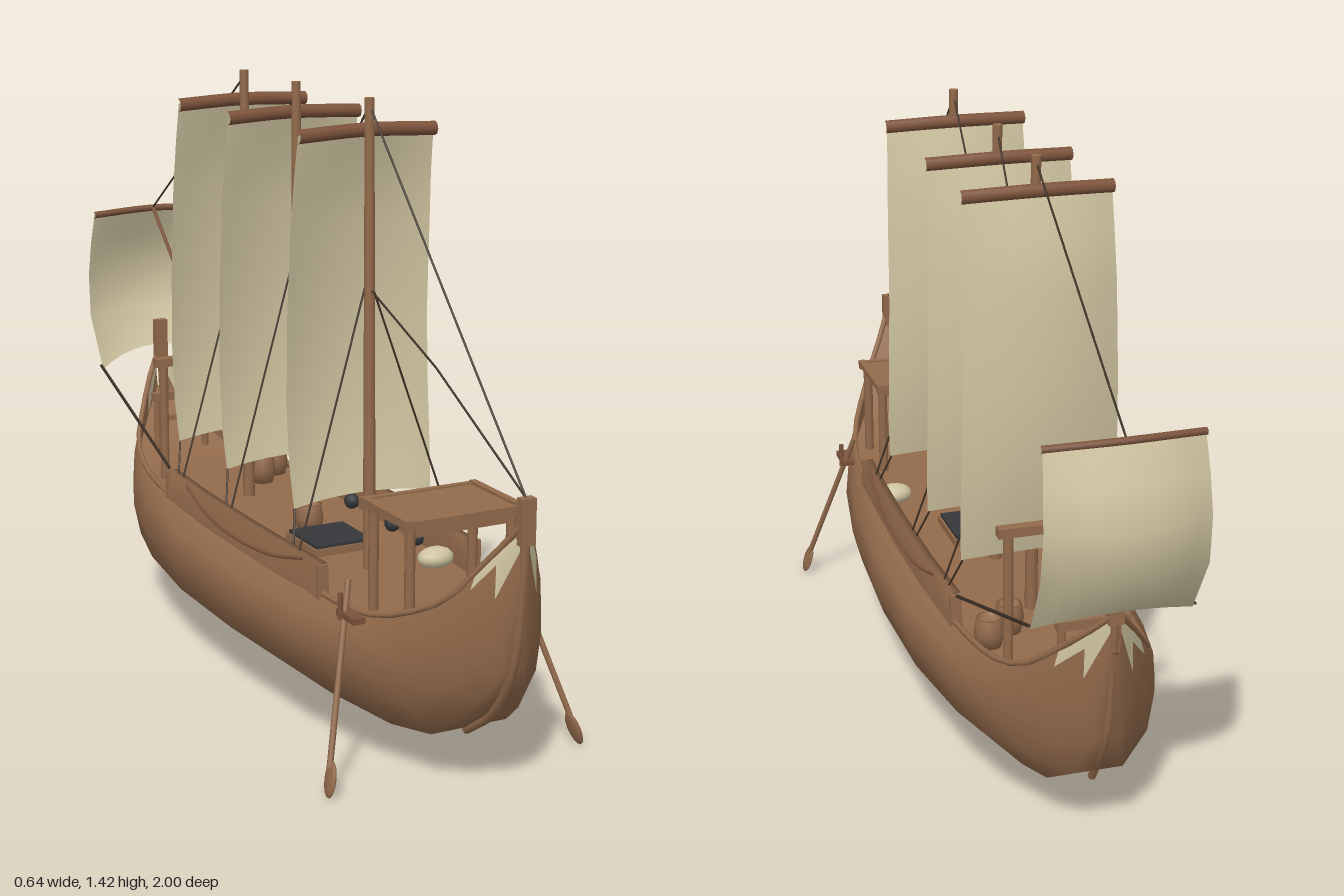
import * as THREE from 'three';

const mat = (name, color, side = THREE.FrontSide) => {
  const m = new THREE.MeshStandardMaterial({ color, side });
  m.name = name;
  return m;
};

// Hull stations: z, keel y, sheer y, greatest half width, half width at the sheer
const STATIONS = [
  [0.985, 0.5, 0.63, 0.012, 0.012],
  [0.955, 0.31, 0.585, 0.05, 0.035],
  [0.915, 0.24, 0.525, 0.088, 0.07],
  [0.87, 0.185, 0.46, 0.12, 0.105],
  [0.78, 0.12, 0.405, 0.168, 0.15],
  [0.65, 0.1, 0.365, 0.212, 0.182],
  [0.41, 0.09, 0.358, 0.252, 0.2],
  [0.1, 0.09, 0.355, 0.274, 0.207],
  [-0.2, 0.09, 0.355, 0.27, 0.205],
  [-0.45, 0.095, 0.36, 0.238, 0.192],
  [-0.61, 0.105, 0.377, 0.2, 0.17],
  [-0.715, 0.125, 0.415, 0.158, 0.14],
  [-0.795, 0.175, 0.484, 0.105, 0.09],
  [-0.85, 0.28, 0.54, 0.055, 0.05],
  [-0.89, 0.5, 0.59, 0.012, 0.012],
];
// Half section: height fraction, width fraction (the last point uses the sheer width)
const SECTION = [[0, 0], [0, 0.56], [0.28, 0.91], [0.59, 1], [0.86, 0.97], [1, 1]];

// Surface through rows of points; pick(row, col) chooses the material group
function loft(rows, pick = () => 0) {
  const n = rows[0].length;
  const lists = [[], []];
  for (let i = 0; i < rows.length - 1; i++) {
    for (let j = 0; j < n - 1; j++) {
      const a = i * n + j, b = a + 1, c = a + n, d = c + 1;
      lists[pick(i, j)].push(a, b, c, b, d, c);
    }
  }
  const g = new THREE.BufferGeometry();
  g.setAttribute('position', new THREE.Float32BufferAttribute(rows.flat(2), 3));
  g.setIndex(lists.flat());
  g.addGroup(0, lists[0].length, 0);
  g.addGroup(lists[0].length, lists[1].length, 1);
  g.computeVertexNormals();
  return g;
}

export function createModel() {
  const wood = mat('wood', 0x926a4b);
  const planks = mat('hull planks', 0x926a4b, THREE.DoubleSide);
  const redWood = mat('red brown wood', 0x7d533b);
  const cream = mat('cream cloth', 0xcfc4a0, THREE.DoubleSide);
  const rope = mat('dark rope', 0x3d3026);
  const charcoal = mat('charcoal', 0x36373a);

  const ship = new THREE.Group();
  ship.name = 'sailingShip';
  const V = (p) => new THREE.Vector3(...p);
  const add = (name, geo, material, pos = [0, 0, 0]) => {
    const m = new THREE.Mesh(geo, material);
    m.name = name;
    m.position.set(...pos);
    ship.add(m);
    return m;
  };
  const box = (name, size, pos, material = wood) => add(name, new THREE.BoxGeometry(...size), material, pos);
  // Straight round bar between two points
  const bar = (name, a, b, r, material = wood, r2 = r, sides = 8) => {
    const d = V(b).sub(V(a));
    const m = add(name, new THREE.CylinderGeometry(r2, r, d.length(), sides), material);
    m.position.copy(V(a)).addScaledVector(d, 0.5);
    m.quaternion.setFromUnitVectors(new THREE.Vector3(0, 1, 0), d.normalize());
    return m;
  };
  const tube = (name, pts, r, material = wood, sides = 6) =>
    add(name, new THREE.TubeGeometry(new THREE.CatmullRomCurve3(pts.map(V)), 32, r, sides), material);
  const line = (a, b, r = 0.0025) => bar('rope', a, b, r, rope, r, 5);

  // Hull with cream bow and stern cheeks
  const hullRows = STATIONS.map(([z, yk, ys, w, ws]) => {
    const half = SECTION.map(([t, f], k) => [k === 5 ? ws : w * f, yk + (ys - yk) * t, z]);
    const other = half.slice(1).reverse().map(([x, y, zz]) => [-x, y, zz]);
    return [...other, ...half];
  });
  const last = STATIONS.length - 2;
  const hull = loft(hullRows, (i, j) => {
    const band = j < 5 ? 4 - j : j - 5;
    const end = Math.min(i, last - i);
    return (end === 0 && band >= 3) || (end === 1 && band === 4) ? 1 : 0;
  });
  add('hull', hull, [planks, cream]);

  // Deck, rising at both ends
  add('deck', loft(STATIONS.map(([z, , ys, w, ws]) => {
    const y = Math.max(0.342, ys - 0.085), x = (w + ws) / 2 - 0.004;
    return [[-x, y, z], [x, y, z]];
  })), planks);
  add('foredeck', loft(STATIONS.slice(0, 4).map(([z, , ys, , ws]) =>
    [[-ws, ys - 0.012, z], [ws, ys - 0.012, z]])), planks);

  // Stem and stern posts
  tube('stemPost', [[0, 0.11, 0.77], [0, 0.185, 0.872], [0, 0.31, 0.95], [0, 0.5, 0.98], [0, 0.62, 0.985]], 0.011);
  tube('sternPost', [[0, 0.14, -0.76], [0, 0.28, -0.845], [0, 0.42, -0.87], [0, 0.59, -0.885]], 0.01);
  box('stemHead', [0.034, 0.1, 0.022], [0, 0.642, 0.988]);
  box('sternHead', [0.034, 0.12, 0.022], [0, 0.632, -0.886]);

  for (const s of [1, -1]) {
    // Gunwale and raised bulwark
    tube('gunwale', STATIONS.map(([z, , ys, , ws]) => [s * ws, ys, z]), 0.007);
    const side = [[0.48, 0.196], [0.3, 0.203], [0.1, 0.207], [-0.15, 0.206], [-0.38, 0.196]];
    const wall = side.map(([z, x], i) => {
      const zt = z + (i === 0 ? -0.015 : i === 4 ? 0.02 : 0);
      return [[s * (x + 0.012), 0.345, z], [s * (x + 0.004), 0.425, zt],
        [s * (x - 0.014), 0.425, zt], [s * (x - 0.014), 0.345, z]];
    });
    add('bulwark', loft(wall), planks);
    for (const k of [0, 4]) {
      box('bulwarkEnd', [0.026, 0.078, 0.01], [s * side[k][1], 0.384, side[k][0] + (k ? 0.012 : -0.01)]);
    }
    tube('bulwarkTrim', [[s * 0.206, 0.418, 0.4], [s * 0.217, 0.385, 0.25], [s * 0.22, 0.372, 0.03],
      [s * 0.216, 0.385, -0.12], [s * 0.208, 0.415, -0.24]], 0.004, redWood);

    // Steering oar with flat blade and lock
    bar('oarShaft', [s * 0.2, 0.43, 0.6], [s * 0.305, 0.06, 0.718], 0.007);
    const blade = add('oarBlade', new THREE.SphereGeometry(1, 10, 8), wood, [s * 0.308, 0.038, 0.727]);
    blade.scale.set(0.007, 0.04, 0.026);
    blade.rotation.set(-0.3, 0, s * 0.27);
    box('oarLock', [0.03, 0.014, 0.08], [s * 0.215, 0.362, 0.64], redWood);
    bar('oarPin', [s * 0.23, 0.35, 0.62], [s * 0.23, 0.41, 0.62], 0.006, redWood);

    // Deck shelter posts and side rails
    for (const z of [0.575, 0.735]) bar('shelterPost', [s * 0.125, 0.335, z], [s * 0.125, 0.575, z], 0.012);
    box('shelterSideRail', [0.016, 0.014, 0.205], [s * 0.138, 0.588, 0.65]);

    // Stern frame posts and braces
    bar('sternFramePost', [s * 0.13, 0.335, -0.56], [s * 0.13, 0.655, -0.56], 0.012);
    bar('sternBenchPost', [s * 0.07, 0.36, -0.75], [s * 0.07, 0.51, -0.75], 0.01);
    line([s * 0.195, 0.425, -0.38], [s * 0.182, 0.585, -0.87], 0.004);
  }

  // Shelter roof
  box('shelterRoof', [0.28, 0.016, 0.205], [0, 0.58, 0.65]);
  for (const z of [0.552, 0.748]) box('shelterEndRail', [0.29, 0.02, 0.014], [0, 0.582, z]);
  for (const z of [0.575, 0.735]) box('shelterBeam', [0.27, 0.02, 0.016], [0, 0.563, z]);

  // Stern crossbars
  box('sternFrameBar', [0.31, 0.022, 0.026], [0, 0.655, -0.56]);
  box('sternBenchBar', [0.165, 0.022, 0.022], [0, 0.512, -0.75]);
  box('sternBenchRail', [0.14, 0.014, 0.014], [0, 0.45, -0.75]);

  // Billowed sail: rows of y, edge z, bulge, half width; the foot arches up by arch
  const sail = (name, rows, z0, arch) => {
    const pts = rows.map(([y, z, bulge, w], i) => Array.from({ length: 11 }, (_, k) => {
      const u = k / 5 - 1;
      const lift = i === rows.length - 1 ? arch * (1 - u * u) : 0;
      return [u * w, y + lift, z0 + z - bulge * (1 - u * u)];
    }));
    return add(name, loft(pts), cream);
  };
  const mainRows = [[1.35, -0.012, 0.006, 0.17], [1.25, -0.026, 0.022, 0.173], [1.14, -0.036, 0.034, 0.177],
    [0.92, -0.048, 0.038, 0.18], [0.735, -0.044, 0.032, 0.183], [0.6, -0.032, 0.022, 0.183], [0.5, -0.018, 0.014, 0.178]];

  // Three masts with yards, sails and shrouds
  const masts = [0.312, -0.05, -0.335];
  for (const z of masts) {
    bar('mast', [0, 0.335, z + 0.014], [0, 1.425, z], 0.015, wood, 0.011, 10);
    tube('yard', [[-0.173, 1.347, z - 0.01], [0, 1.352, z - 0.02], [0.173, 1.347, z - 0.01]], 0.016, redWood, 8);
    sail('mainSail', mainRows, z, 0.012);
    for (const s of [1, -1]) {
      line([0, 1.03, z], [s * 0.198, 0.425, z + 0.05]);
      line([s * 0.175, 0.5, z - 0.02], [s * 0.198, 0.42, z + 0.02]);
    }
  }

  // Stern sail and its spar
  sail('sternSail', [[0.995, -0.918, 0.012, 0.172], [0.91, -0.938, 0.03, 0.177], [0.82, -0.952, 0.046, 0.18],
    [0.71, -0.94, 0.045, 0.182], [0.575, -0.866, 0.055, 0.178]], 0, 0.04);
  tube('sternYard', [[-0.175, 0.99, -0.915], [0, 0.995, -0.93], [0.175, 0.99, -0.915]], 0.009, redWood);
  bar('sternSpar', [0, 0.66, -0.56], [0, 0.995, -0.92], 0.005, redWood);

  // Stays along the centre line
  line([0, 1.41, 0.312], [0, 0.69, 0.985]);
  line([0, 1.0, 0.315], [0, 0.88, 0.62]);
  line([0, 0.88, 0.62], [0, 0.69, 0.985]);
  line([0, 1.41, 0.312], [0, 1.0, -0.045]);
  line([0, 1.41, -0.05], [0, 1.0, -0.33]);
  line([0, 1.41, -0.335], [0, 1.0, -0.92]);

  // Deck cargo: hatch, barrels, sack, crates and pots
  box('hatchFrame', [0.155, 0.02, 0.155], [0, 0.35, 0.128]);
  box('hatchGrate', [0.145, 0.012, 0.145], [0, 0.362, 0.128], charcoal);
  const barrel = new THREE.LatheGeometry([[0, 0], [0.028, 0], [0.035, 0.035], [0.03, 0.07], [0.024, 0.07], [0.022, 0.06],
    [0, 0.06]].map(([x, y]) => new THREE.Vector2(x, y)), 14);
  for (const [x, z] of [[0.148, -0.475], [0.085, -0.42], [0.005, 0.01]]) add('barrel', barrel, wood, [x, 0.34, z]);
  const sack = add('sack', new THREE.SphereGeometry(1, 12, 8), cream, [0.148, 0.36, 0.375]);
  sack.scale.set(0.046, 0.026, 0.033);
  box('crate', [0.05, 0.05, 0.04], [0.055, 0.365, 0.78]);
  const pot = new THREE.SphereGeometry(0.02, 10, 8);
  for (const [x, z] of [[-0.19, -0.19], [-0.19, -0.1], [-0.19, 0.035], [-0.158, -0.01], [0.19, -0.1], [0.19, 0.11],
    [0.19, 0.23], [-0.005, 0.785]]) add('pot', pot, charcoal, [x * 0.95, 0.362, z]);

  return ship;
}
